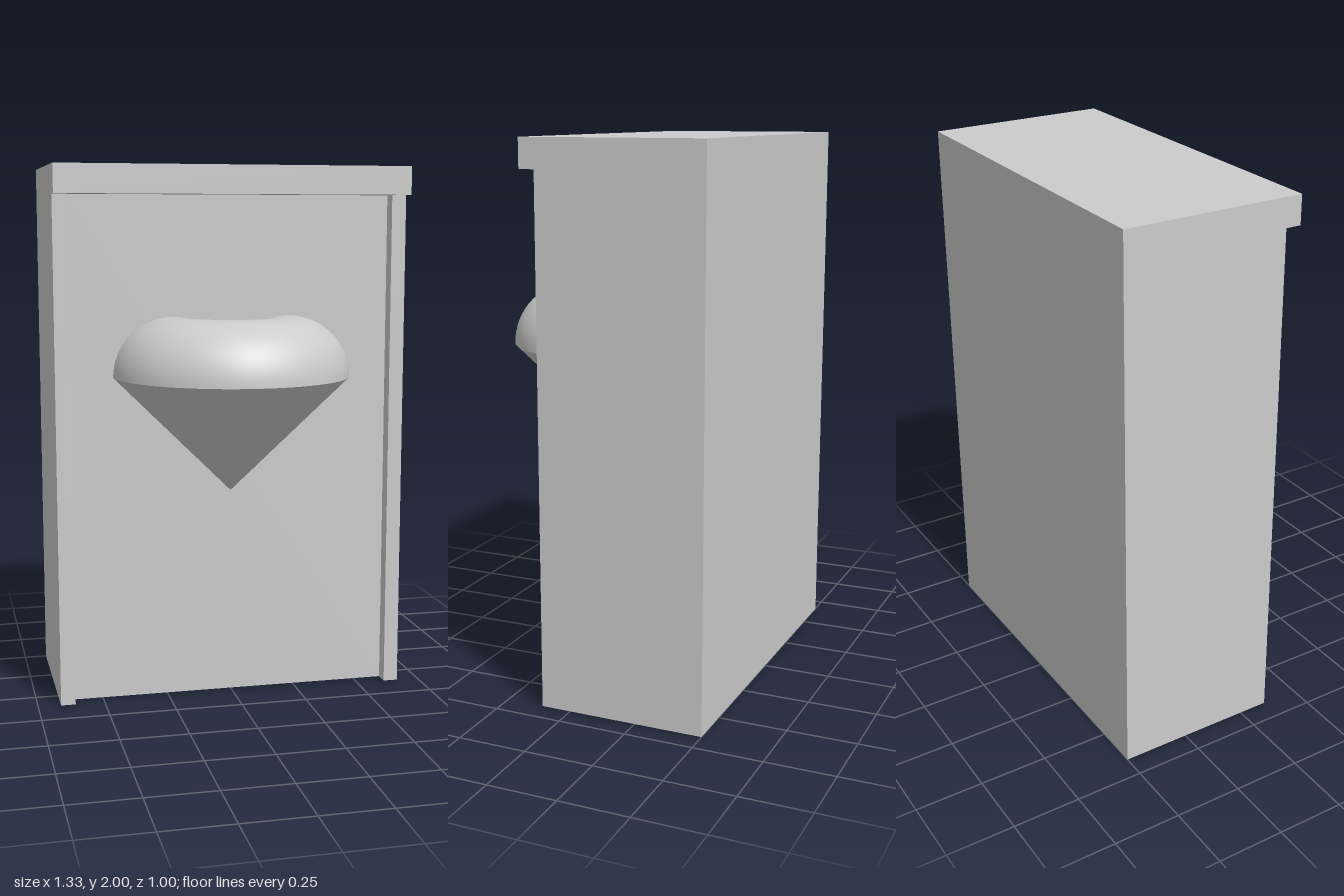
import * as THREE from 'three';

export function createModel() {
  const model = new THREE.Group();
  const material = new THREE.MeshStandardMaterial({ color: 0xcccccc });
  const add = (name, geometry, parent = model) => {
    const mesh = new THREE.Mesh(geometry, material);
    mesh.name = name;
    parent.add(mesh);
    return mesh;
  };

  const halfWidth = 0.665, back = -0.5, panelZ = 0.055, stripZ = 0.11, lintelZ = 0.167;
  const stripWidth = 0.055, lintelY = 1.895;

  // Cabinet body: a plan with a raised strip at each side of the panel, extruded upwards
  const inner = halfWidth - stripWidth;
  const plan = new THREE.Shape([
    [-halfWidth, back], [halfWidth, back], [halfWidth, stripZ], [inner, stripZ],
    [inner, panelZ], [-inner, panelZ], [-inner, stripZ], [-halfWidth, stripZ],
  ].map(([x, z]) => new THREE.Vector2(x, -z)));
  add('body', new THREE.ExtrudeGeometry(plan, { depth: lintelY, bevelEnabled: false })
    .rotateX(-Math.PI / 2));

  // Overhanging top slab
  const lintelDepth = lintelZ - back;
  add('topSlab', new THREE.BoxGeometry(2 * halfWidth, 2 - lintelY, lintelDepth))
    .position.set(0, (2 + lintelY) / 2, (lintelZ + back) / 2);

  // Heart on the panel: a half cone below half of a ring-shaped bulge
  const heart = new THREE.Group();
  heart.name = 'heart';
  heart.position.set(0, 1.225, panelZ);
  model.add(heart);
  const radius = 0.445, lobe = radius / 2;
  const halfLathe = (points) => new THREE.LatheGeometry(points, 64, -Math.PI / 2, Math.PI);

  add('heartPoint', halfLathe([new THREE.Vector2(0, -0.44), new THREE.Vector2(radius, 0)]), heart);

  const arc = [];
  for (let i = 0; i <= 32; i++) {
    const a = (i / 32) * Math.PI;
    arc.push(new THREE.Vector2(Math.max(0, lobe + lobe * Math.cos(a)), lobe * Math.sin(a)));
  }
  add('heartLobes', halfLathe(arc), heart);

  return model;
}
